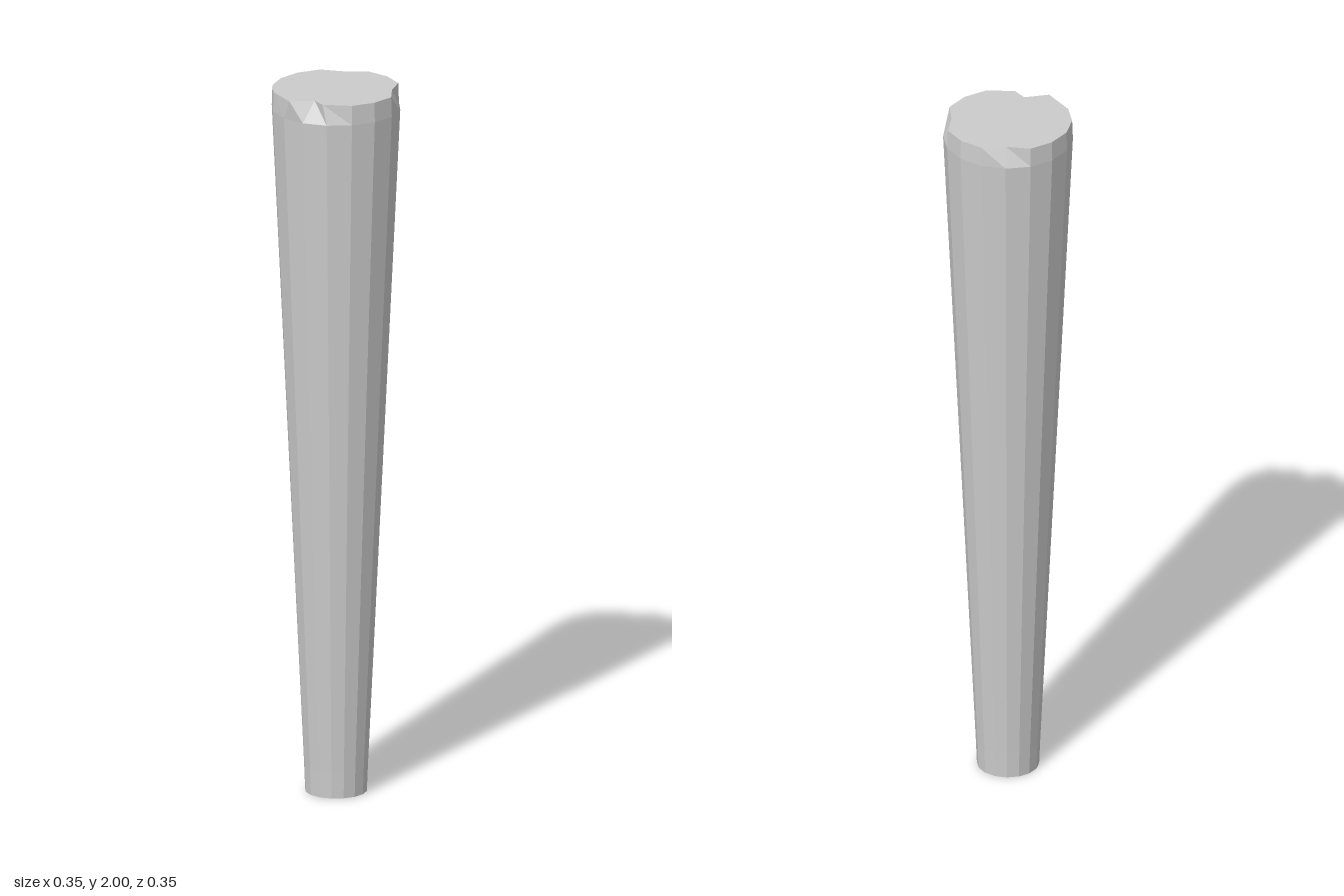
import * as THREE from 'three';

const SIDES = 16;

export function createModel() {
  const group = new THREE.Group();
  group.name = 'taperedPost';

  // Closed profile: foot cap, short foot, long taper, rim band, top cap
  const profile = [[0, 0], [0.085, 0], [0.088, 0.075], [0.177, 1.945], [0.175, 2], [0, 2]]
    .map(([r, y]) => new THREE.Vector2(r, y));
  const lathe = new THREE.LatheGeometry(profile, SIDES);

  // Chips in the top rim: corner number (from the front towards +x) -> new x, z
  const chips = {
    0: [-0.013, 0.163],
    4: [0.154, 0],
    8: [0, -0.153],
    14: [-0.107, 0.145],
    15: [-0.04, 0.128],
  };
  const rim = 4;
  const pos = lathe.attributes.position;
  for (let i = 0; i <= SIDES; i++) {
    const chip = chips[i % SIDES];
    const v = i * profile.length + rim;
    if (chip) pos.setXYZ(v, chip[0], 2, chip[1]);
  }

  const geometry = lathe.toNonIndexed();
  geometry.computeVertexNormals();
  const post = new THREE.Mesh(
    geometry,
    new THREE.MeshStandardMaterial({ color: 0xcccccc, flatShading: true })
  );
  post.name = 'post';
  group.add(post);
  return group;
}
